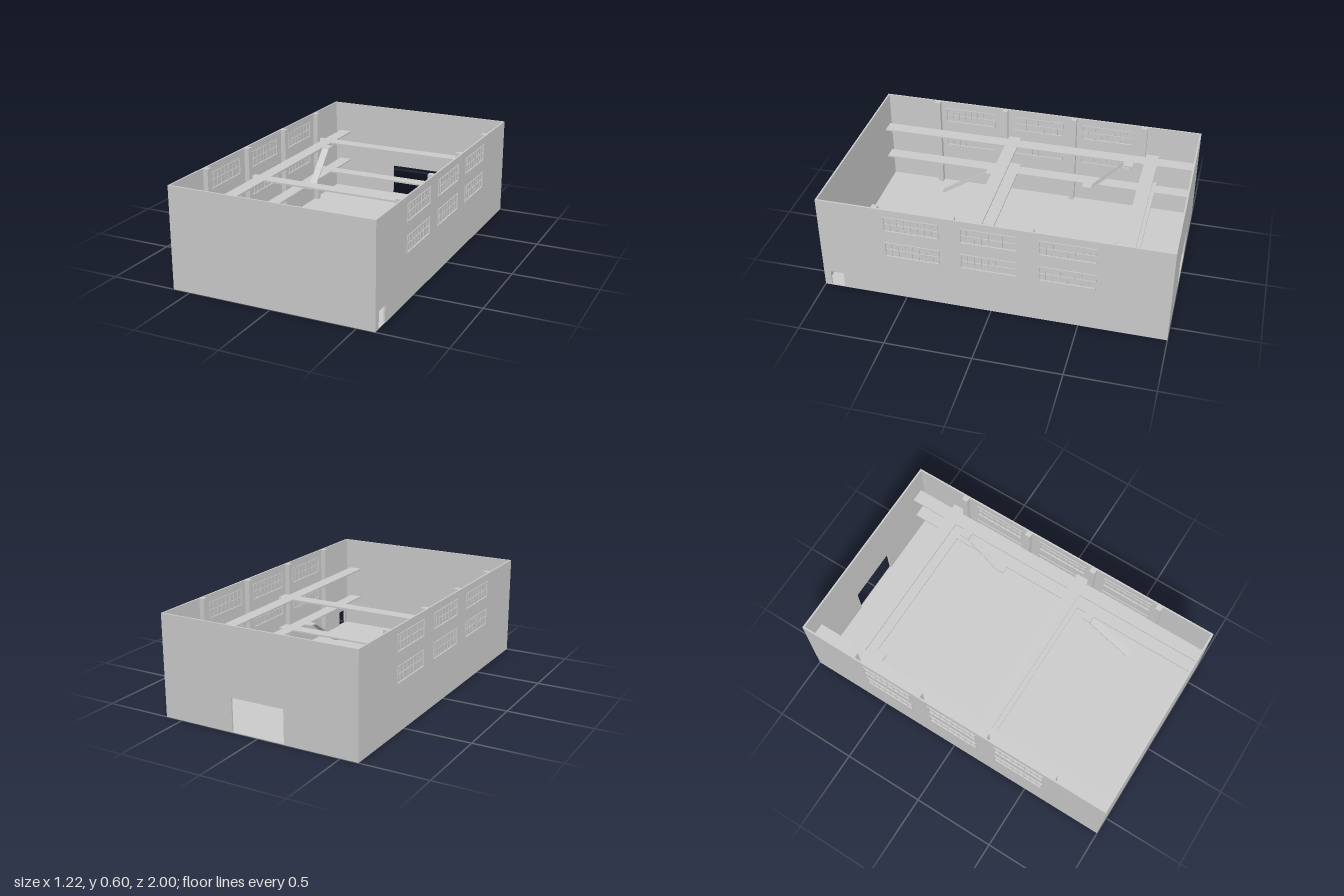
import * as THREE from 'three';

const W = 0.605, D = 1, H = 0.6, T = 0.01;
const mat = new THREE.MeshStandardMaterial({ color: 0xcccccc, flatShading: true });

// Box given by its min and max corners
function box(parent, name, x0, x1, y0, y1, z0, z1) {
  const m = new THREE.Mesh(new THREE.BoxGeometry(x1 - x0, y1 - y0, z1 - z0), mat);
  m.position.set((x0 + x1) / 2, (y0 + y1) / 2, (z0 + z1) / 2);
  m.name = name;
  parent.add(m);
  return m;
}

function rectPath(a0, a1, b0, b1, P = THREE.Path) {
  const p = new P();
  p.moveTo(a0, b0);
  p.lineTo(a1, b0);
  p.lineTo(a1, b1);
  p.lineTo(a0, b1);
  p.closePath();
  return p;
}

// Flat panel in (a, y) with rectangular holes, extruded by depth
function panel(name, outer, holes, depth) {
  const s = rectPath(...outer, THREE.Shape);
  s.holes = holes.map(h => rectPath(...h));
  const m = new THREE.Mesh(new THREE.ExtrudeGeometry(s, { depth, bevelEnabled: false }), mat);
  m.name = name;
  return m;
}

// Window rectangles along z and y
const windows = [];
for (const z of [-0.43, 0.01, 0.45])
  for (const y of [0.28, 0.455]) windows.push([z - 0.16, z + 0.16, y, y + 0.1]);

function sideWall(side) {
  const g = new THREE.Group();
  g.name = side > 0 ? 'leftWall' : 'rightWall';
  // Rotated panels map local a to -z
  const flip = ([z0, z1, y0, y1]) => [-z1, -z0, y0, y1];
  const place = (m, x0) => { m.rotation.y = Math.PI / 2; m.position.x = x0; g.add(m); };
  const holes = windows.map(flip);
  const x0 = side > 0 ? W - T : -W;
  const outline = [-D, D, 0, H];
  const wall = panel('wallPanel', outline, holes, T);
  if (side > 0) { // small door opening cut out of the lower edge
    const s = new THREE.Shape([[-D, 0], [-0.96, 0], [-0.96, 0.1], [-0.88, 0.1], [-0.88, 0], [D, 0], [D, H], [-D, H]]
      .map(p => new THREE.Vector2(...p)));
    s.holes = holes.map(h => rectPath(...h));
    wall.geometry = new THREE.ExtrudeGeometry(s, { depth: T, bevelEnabled: false });
  }
  place(wall, x0);

  // Window frames, panes and glazing bars
  const xc = side * (W - T / 2);
  for (const w of windows) {
    const [z0, z1, y0, y1] = w, f = 0.006;
    place(panel('windowFrame', flip(w), [flip([z0 + f, z1 - f, y0 + f, y1 - f])], 0.02), xc - 0.01);
    box(g, 'windowPane', xc - 0.001, xc + 0.001, y0, y1, z0, z1);
    for (let i = 1; i < 8; i++) {
      const z = z0 + (z1 - z0) * i / 8;
      box(g, 'glazingBar', xc - 0.006, xc + 0.006, y0, y1, z - 0.002, z + 0.002);
    }
    const ym = (y0 + y1) / 2;
    box(g, 'glazingBar', xc - 0.006, xc + 0.006, ym - 0.002, ym + 0.002, z0, z1);
  }
  return g;
}

// Sloping stair slab between a top and a bottom point
function stair(parent, side, zTop, yTop, zBot, yBot) {
  const dz = zBot - zTop, dy = yBot - yTop;
  const m = new THREE.Mesh(new THREE.BoxGeometry(0.046, 0.008, Math.hypot(dz, dy)), mat);
  m.position.set(side * 0.462, (yTop + yBot) / 2, (zTop + zBot) / 2);
  m.rotation.x = -Math.atan2(dy, dz);
  m.name = 'stair';
  parent.add(m);
}

export function createModel() {
  const root = new THREE.Group();
  root.name = 'warehouse';

  // Shell
  box(root, 'floor', -W, W, 0, 0.005, -D, D);
  box(root, 'frontWall', -W, W, 0, H, D - T, D);
  const back = new THREE.Mesh(new THREE.ExtrudeGeometry(new THREE.Shape(
    [[-W, 0], [-0.163, 0], [-0.163, 0.2], [0.163, 0.2], [0.163, 0], [W, 0], [W, H], [-W, H]]
      .map(p => new THREE.Vector2(...p))), { depth: T, bevelEnabled: false }), mat);
  back.position.z = -D;
  back.name = 'backWall';
  root.add(back);

  // Two levels of walkways joined by cross bridges
  for (const y of [0.205, 0.405]) {
    const deck = new THREE.Group();
    deck.name = y < 0.3 ? 'lowerDeck' : 'upperDeck';
    for (const s of [-1, 1])
      box(deck, 'walkway', s * 0.525 - 0.04, s * 0.525 + 0.04, y - 0.01, y, -D + T, D - T);
    for (const [z0, z1] of [[-0.76, -0.68], [0.12, 0.2]])
      box(deck, 'bridge', -W + T, W - T, y - 0.0101, y + 0.0001, z0, z1);
    root.add(deck);
  }

  for (const s of [-1, 1]) {
    root.add(sideWall(s));
    // Columns against the side walls
    for (const z of [-0.66, -0.22, 0.22, 0.66])
      box(root, 'column', s * 0.58 - 0.015, s * 0.58 + 0.015, 0, H, z - 0.017, z + 0.017);
    // Landings and stairs
    for (const [z0, z1, y] of [[-0.62, -0.56, 0.405], [-0.37, -0.31, 0.205], [0.26, 0.315, 0.205]])
      box(root, 'landing', s * 0.462 - 0.023, s * 0.462 + 0.023, y - 0.01, y, z0, z1);
    stair(root, s, -0.56, 0.4, -0.37, 0.2);
    stair(root, s, 0.315, 0.2, 0.61, 0.004);
  }
  return root;
}
